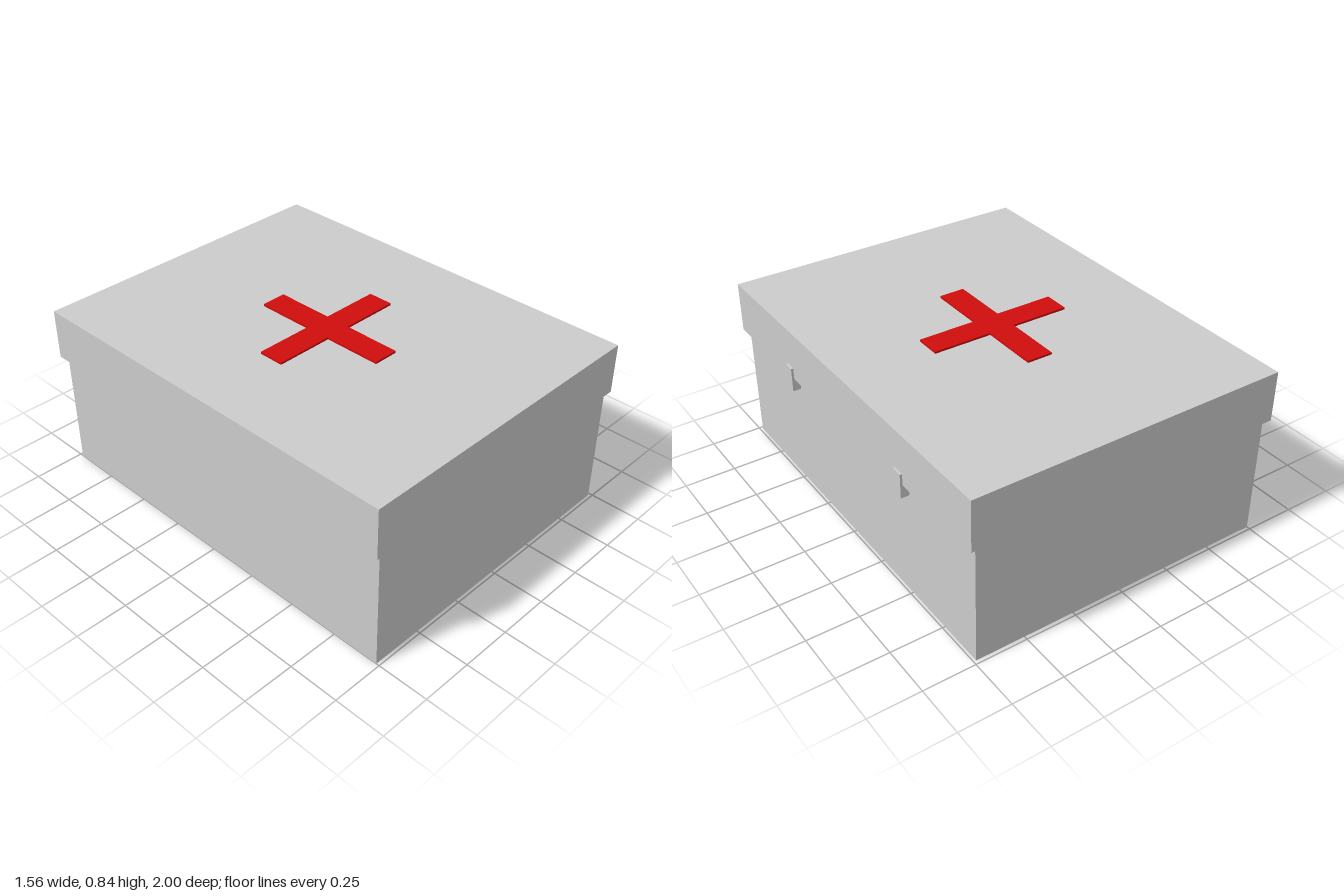
import * as THREE from 'three';

const grey = new THREE.MeshStandardMaterial({ color: 0xcccccc });
const red = new THREE.MeshStandardMaterial({ color: 0xd00c0c });

// Box given by its lower and upper limits on each axis
function box(name, [x0, x1], [y0, y1], [z0, z1]) {
  const mesh = new THREE.Mesh(new THREE.BoxGeometry(x1 - x0, y1 - y0, z1 - z0), grey);
  mesh.position.set((x0 + x1) / 2, (y0 + y1) / 2, (z0 + z1) / 2);
  mesh.name = name;
  return mesh;
}

export function createModel() {
  const group = new THREE.Group();
  group.name = 'firstAidBox';

  // Box body and overhanging lid
  group.add(box('body', [-0.75, 0.737], [0, 0.59], [-0.982, 0.985]));
  group.add(box('lid', [-0.78, 0.766], [0.588, 0.833], [-1, 1]));

  // Two latches on the left side, bridging lid and body
  for (const z of [-0.476, 0.481]) {
    group.add(box('latch', [0.735, 0.777], [0.526, 0.645], [z - 0.027, z + 0.027]));
  }

  // Flat plus-shaped emblem on the lid
  const a = 0.0625, b = 0.348;
  const plus = new THREE.Shape([
    [a, a], [a, b], [-a, b], [-a, a], [-b, a], [-b, -a],
    [-a, -a], [-a, -b], [a, -b], [a, -a], [b, -a], [b, a],
  ].map(([x, y]) => new THREE.Vector2(x, y)));
  const geometry = new THREE.ExtrudeGeometry(plus, { depth: 0.012, bevelEnabled: false });
  const cross = new THREE.Mesh(geometry.rotateX(-Math.PI / 2), red);
  cross.position.set(-0.018, 0.831, -0.002);
  cross.name = 'cross';
  group.add(cross);

  return group;
}
